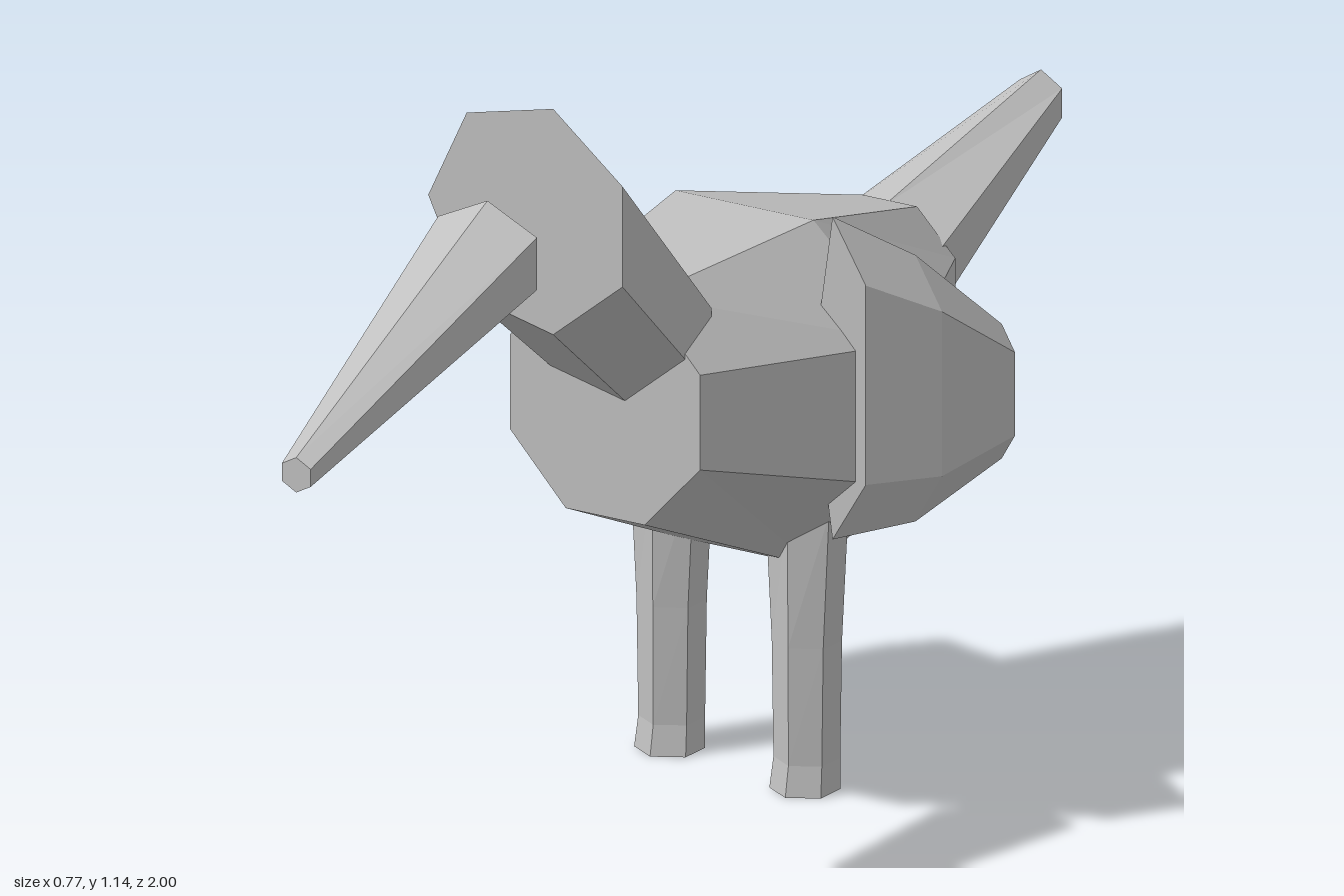
import * as THREE from 'three';

const rad = THREE.MathUtils.degToRad;

// Closed faceted tube through elliptical rings [z, cx, cy, rx, ry], ordered from low z to high z
function loft(sides, startDeg, rings) {
  const point = (r, k) => {
    const [z, cx, cy, rx, ry] = rings[r];
    const a = rad(startDeg) + (k % sides) * Math.PI * 2 / sides;
    return [cx + rx * Math.cos(a), cy + ry * Math.sin(a), z];
  };
  const pos = [];
  const tri = (...pts) => pts.forEach((p) => pos.push(...p));
  const last = rings.length - 1;
  for (let k = 0; k < sides; k++) {
    for (let r = 0; r < last; r++) {
      const a = point(r, k), b = point(r, k + 1), c = point(r + 1, k + 1), d = point(r + 1, k);
      tri(a, b, c);
      tri(a, c, d);
    }
    if (k > 0 && k < sides - 1) {
      tri(point(last, 0), point(last, k), point(last, k + 1));
      tri(point(0, 0), point(0, k + 1), point(0, k));
    }
  }
  const geo = new THREE.BufferGeometry();
  geo.setAttribute('position', new THREE.Float32BufferAttribute(pos, 3));
  geo.computeVertexNormals();
  return geo;
}

export function createModel() {
  const model = new THREE.Group();
  model.name = 'bird';
  const grey = new THREE.MeshStandardMaterial({ color: 0xc0c0c0, flatShading: true });
  grey.name = 'plain grey';

  const add = (name, geo) => {
    const mesh = new THREE.Mesh(geo, grey);
    mesh.name = name;
    model.add(mesh);
  };

  // Body: octagonal, fattest in the middle
  const k = 1 / Math.cos(Math.PI / 8);
  add('body', loft(8, 22.5, [
    [-0.57, 0, 0.62, 0.11 * k, 0.11 * k],
    [-0.2, 0, 0.573, 0.28 * k, 0.257 * k],
    [0.155, 0, 0.64, 0.16 * k, 0.17 * k],
  ]));

  // Neck and head: one seven-sided prism leaning forward
  add('neck', loft(7, 180, [
    [0.075, 0, 0.72, 0.14, 0.14],
    [0.345, 0, 0.97, 0.172, 0.172],
  ]));

  // Beak: detached, drooping towards the tip
  add('beak', loft(6, 30, [
    [0.465, 0.007, 0.952, 0.096, 0.078],
    [1, 0.039, 0.783, 0.028, 0.026],
  ]));

  // Tail: rises towards the tip
  add('tail', loft(6, 30, [
    [-1, -0.03, 0.752, 0.041, 0.043],
    [-0.55, 0, 0.64, 0.114, 0.086],
  ]));

  // Wings: thin tall shells flaring outwards to the back
  for (const [side, name] of [[1, 'leftWing'], [-1, 'rightWing']]) {
    add(name, loft(5, 180, [
      [-0.312, side * 0.365, 0.59, 0.02, 0.105],
      [-0.2, side * 0.3, 0.613, 0.04, 0.208],
      [-0.107, side * 0.225, 0.64, 0.05, 0.252],
    ]));
  }

  // Legs: lofted along z, then stood upright
  for (const [x, z, name] of [[0.128, -0.165, 'leftLeg'], [-0.128, -0.208, 'rightLeg']]) {
    const leg = loft(6, 30, [
      [0, x, -z - 0.005, 0.05, 0.05],
      [0.045, x, -z, 0.047, 0.047],
      [0.22, x, -z, 0.05, 0.048],
      [0.42, x, -z, 0.062, 0.05],
    ]);
    leg.rotateX(-Math.PI / 2);
    add(name, leg);
  }

  return model;
}
